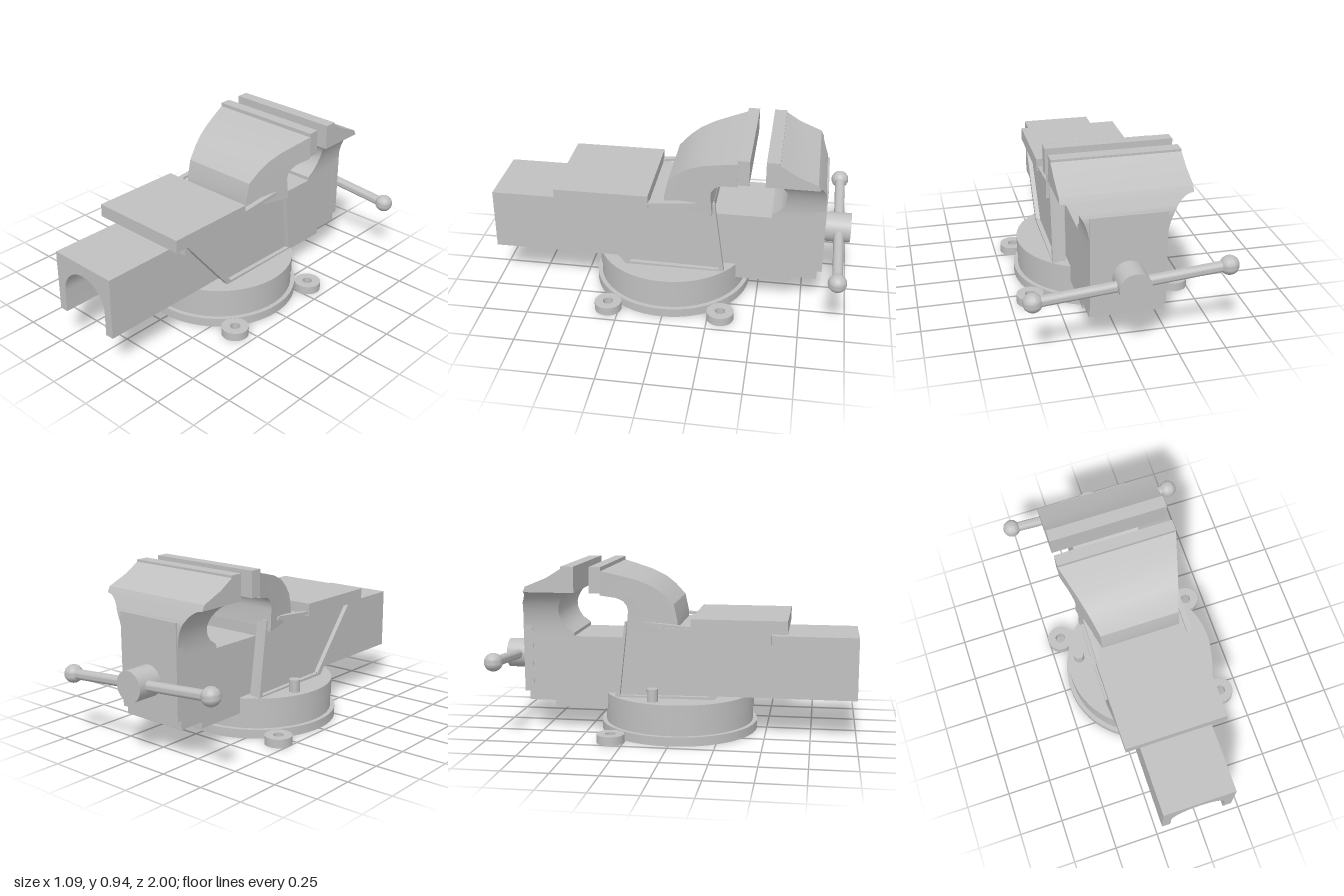
import * as THREE from 'three';
import { toCreasedNormals } from 'three/addons/utils/BufferGeometryUtils.js';

export function createModel() {
  const model = new THREE.Group();
  model.name = 'benchVise';
  const vise = new THREE.Group();
  vise.name = 'vise';
  vise.position.x = -0.02;
  model.add(vise);

  const steel = new THREE.MeshStandardMaterial({ color: 0xc0c0c0 });
  steel.name = 'steelGrey';

  const add = (name, geometry, x = 0, y = 0, z = 0, crease = 0.6) => {
    const mesh = new THREE.Mesh(toCreasedNormals(geometry, crease), steel);
    mesh.name = name;
    mesh.position.set(x, y, z);
    vise.add(mesh);
    return mesh;
  };
  // Box given by half width and its y and z ranges
  const box = (name, hw, y0, y1, z0, z1) =>
    add(name, new THREE.BoxGeometry(2 * hw, y1 - y0, Math.abs(z1 - z0)), 0, (y0 + y1) / 2, (z0 + z1) / 2);
  // Side profile of [z, y] points, extruded across x and centred
  const profile = (points, width) => {
    const shape = new THREE.Shape(points.map(p => new THREE.Vector2(...p)));
    const g = new THREE.ExtrudeGeometry(shape, { depth: width, bevelEnabled: false });
    return g.translate(0, 0, -width / 2).rotateY(-Math.PI / 2);
  };

  // Round swivel base, hollow underneath with an inner ring
  const basePoints = [
    [0, 0.12], [0.23, 0.12], [0.23, 0.02], [0.27, 0.02], [0.27, 0.12], [0.36, 0.12], [0.36, 0],
    [0.445, 0], [0.445, 0.05], [0.42, 0.05], [0.42, 0.13], [0.425, 0.13], [0.425, 0.22], [0, 0.22],
  ].map(p => new THREE.Vector2(...p));
  add('swivelBase', new THREE.LatheGeometry(basePoints, 64));

  // Mounting ears with bolt holes
  const earShape = new THREE.Shape().absarc(0, 0, 0.075, 0, Math.PI * 2);
  earShape.holes.push(new THREE.Path().absarc(0, 0, 0.029, 0, Math.PI * 2, true));
  for (const [x, z] of [[-0.41, -0.32], [0.41, -0.32], [0.41, 0.31]]) {
    const ear = new THREE.ExtrudeGeometry(earShape, { depth: 0.048, bevelEnabled: false, curveSegments: 20 });
    add('mountingEar', ear.rotateX(-Math.PI / 2), x, 0, z);
  }
  add('lockPin', new THREE.CylinderGeometry(0.03, 0.03, 0.24, 24), -0.345, 0.17, -0.1);

  // Sliding beam with an arched channel below
  const beam = new THREE.Shape();
  beam.moveTo(-0.205, 0.225);
  beam.lineTo(-0.155, 0.225);
  beam.lineTo(-0.155, 0.35);
  beam.absarc(0, 0.35, 0.155, Math.PI, 0, true);
  beam.lineTo(0.155, 0.225);
  beam.lineTo(0.205, 0.225);
  beam.lineTo(0.205, 0.57);
  beam.lineTo(-0.205, 0.57);
  add('slidingBeam', new THREE.ExtrudeGeometry(beam, { depth: 1.25, bevelEnabled: false, curveSegments: 24 }), 0, 0, -0.25);

  // Screw and its upright nut
  add('screwNut', new THREE.CylinderGeometry(0.083, 0.083, 0.26, 32), 0, 0.35, 0);
  add('screw', new THREE.CylinderGeometry(0.043, 0.043, 0.5, 24).rotateX(Math.PI / 2), 0, 0.4, -0.08);

  // Fixed body: side walls with raised ribs
  const wall = [[0.22, 0.222], [-0.31, 0.222], [-0.25, 0.62], [-0.1, 0.61], [0.1, 0.6], [0.53, 0.595]];
  const ribs = [
    [[0.54, 0.595], [0.5, 0.595], [0.205, 0.24], [0.23, 0.222]],
    [[0.23, 0.222], [0.22, 0.237], [-0.31, 0.23], [-0.31, 0.222]],
    [[-0.32, 0.222], [-0.295, 0.222], [-0.25, 0.64], [-0.262, 0.64]],
    [[0.1, 0.605], [0.1, 0.62], [-0.16, 0.642], [-0.17, 0.622]],
  ];
  for (const s of [-1, 1]) {
    add('bodyWall', profile(wall, 0.05), s * 0.23);
    for (const r of ribs) add('bodyRib', profile(r, 0.03), s * 0.265);
  }
  box('bodyTop', 0.25, 0.565, 0.605, -0.25, 0.5);
  box('bodyFrontLip', 0.255, 0.525, 0.595, 0.49, 0.53);
  box('anvilPlate', 0.2875, 0.593, 0.665, 0.1, 0.62);

  // Fixed jaw, widening evenly toward the rear
  const jaw = profile([
    [0.02, 0.59], [0.02, 0.64], [0, 0.735], [-0.06, 0.795], [-0.12, 0.838], [-0.2, 0.872], [-0.3, 0.9], [-0.385, 0.922],
    [-0.385, 0.79], [-0.3, 0.775], [-0.265, 0.757], [-0.245, 0.73], [-0.24, 0.7], [-0.25, 0.58],
  ], 1);
  const jp = jaw.attributes.position;
  for (let i = 0; i < jp.count; i++) jp.setX(i, jp.getX(i) * 2 * (0.225 - 0.29 * Math.min(0, jp.getZ(i))));
  add('fixedJaw', jaw, 0, 0, 0, 0.5);
  box('fixedJawPlate', 0.335, 0.8, 0.942, -0.445, -0.38);

  // Moving housing with a stepped underside
  add('movingHousing', profile([
    [-0.25, 0.225], [-0.25, 0.54], [-0.85, 0.54], [-0.85, 0.22], [-0.83, 0.22],
    [-0.83, 0.17], [-0.68, 0.17], [-0.68, 0.135], [-0.38, 0.135], [-0.38, 0.225],
  ], 0.39));
  box('housingBackPlate', 0.197, 0.22, 0.73, -0.857, -0.805);

  // Moving jaw: rectangular sections [y, front z, back z, half width]
  const sections = [[0.53, -0.565, -0.85, 0.195]];
  for (let i = 0; i <= 12; i++) {
    const t = (i / 12) * Math.PI / 2, s = Math.sin(t), y = 0.56 + 0.24 * s;
    const throat = -0.565 - 0.085 * Math.pow(Math.max(0, Math.sin(Math.PI * s)), 0.7);
    sections.push([y, throat, -0.85 + 0.035 * Math.max(0, (y - 0.72) / 0.08), 0.335 - 0.14 * Math.cos(t)]);
  }
  sections.push([0.83, -0.56, -0.8, 0.335], [0.88, -0.56, -0.68, 0.335], [0.93, -0.56, -0.6, 0.335]);
  const verts = [], faces = [];
  for (const [y, z0, z1, w] of sections) verts.push(w, y, z0, w, y, z1, -w, y, z1, -w, y, z0);
  for (let k = 0; k < sections.length - 1; k++) {
    for (let i = 0; i < 4; i++) {
      const a = k * 4 + i, b = k * 4 + (i + 1) % 4;
      faces.push(a, b, b + 4, a, b + 4, a + 4);
    }
  }
  const last = (sections.length - 1) * 4;
  faces.push(last, last + 1, last + 2, last, last + 2, last + 3);
  const moving = new THREE.BufferGeometry();
  moving.setAttribute('position', new THREE.Float32BufferAttribute(verts, 3));
  moving.setIndex(faces);
  add('movingJaw', moving, 0, 0, 0, 0.5);
  box('movingJawPlate', 0.335, 0.8, 0.942, -0.6, -0.53);

  // Screw head and tilted handle with ball ends
  add('screwHead', new THREE.CylinderGeometry(0.083, 0.083, 0.16, 40).rotateX(Math.PI / 2), 0, 0.4, -0.92);
  const handle = new THREE.Group();
  handle.name = 'handle';
  handle.position.set(0, 0.398, -0.935);
  handle.rotation.z = -0.087;
  vise.add(handle);
  handle.add(add('handleRod', new THREE.CylinderGeometry(0.028, 0.028, 0.98, 24).rotateZ(Math.PI / 2)));
  for (const s of [-1, 1]) handle.add(add('handleBall', new THREE.SphereGeometry(0.05, 28, 18), s * 0.497));

  return model;
}
